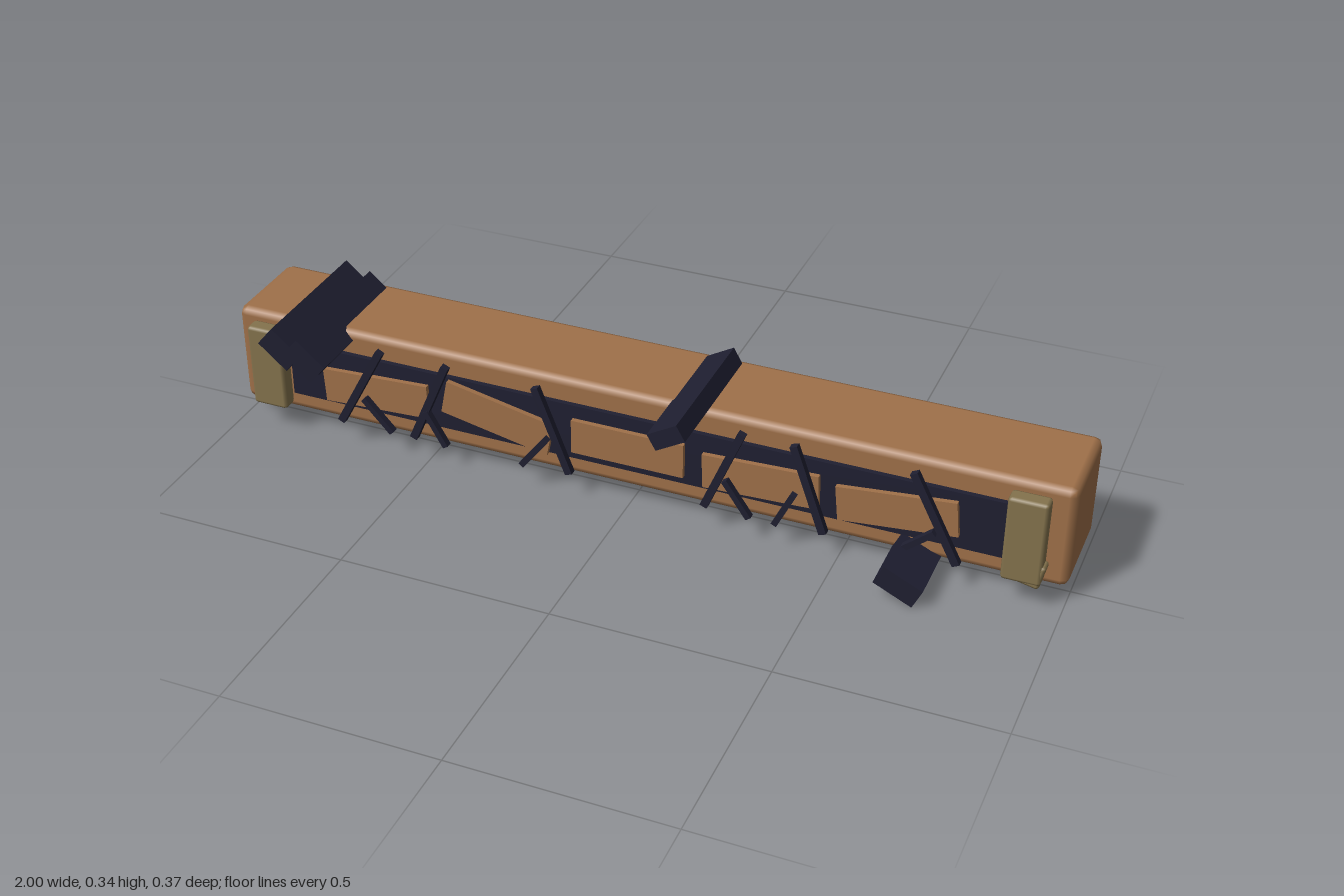
import * as THREE from 'three';
import { RoundedBoxGeometry } from 'three/addons/geometries/RoundedBoxGeometry.js';

const material = (name, color) => {
  const m = new THREE.MeshStandardMaterial({ color });
  m.name = name;
  return m;
};

export function createModel() {
  const group = new THREE.Group();
  const wood = material('warm brown', 0x9f7049);
  const dark = material('dark navy', 0x1f1f31);
  const tan = material('dull tan', 0x84734d);

  const add = (name, geometry, mat, x, y, z, tilt = 0) => {
    const mesh = new THREE.Mesh(geometry, mat);
    mesh.name = name;
    mesh.position.set(x, y, z);
    mesh.rotation.z = tilt;
    group.add(mesh);
    return mesh;
  };
  const box = (w, h, d) => new THREE.BoxGeometry(w, h, d);

  // Chamfered main beam and the recessed-looking dark strip on its front
  add('beam', new RoundedBoxGeometry(2, 0.248, 0.235, 1, 0.018), wood, 0, 0.164, -0.0675);
  add('frontPanel', box(1.72, 0.14, 0.025), dark, 0, 0.161, 0.0495);

  // Loose boards over the strip: x, y, width, height, tilt
  [
    [-0.63, 0.152, 0.27, 0.085, 0.05],
    [-0.32, 0.16, 0.27, 0.085, -0.2],
    [0, 0.158, 0.27, 0.085, 0],
    [0.315, 0.152, 0.27, 0.085, 0.04],
    [0.625, 0.157, 0.27, 0.085, 0.1],
  ].forEach(([x, y, w, h, tilt]) =>
    add('board', box(w, h, 0.012), wood, x, y, 0.071, tilt));

  // Crossing sticks, each from one end point to the other: x1, y1, x2, y2
  [
    [-0.607, 0.273, -0.72, 0.064], [-0.655, 0.14, -0.585, 0.064],
    [-0.44, 0.273, -0.53, 0.064], [-0.495, 0.144, -0.446, 0.06],
    [-0.217, 0.273, -0.136, 0.064], [-0.19, 0.144, -0.254, 0.06],
    [0.275, 0.273, 0.19, 0.064], [0.238, 0.144, 0.297, 0.06],
    [0.393, 0.273, 0.468, 0.064], [0.398, 0.148, 0.356, 0.06],
    [0.66, 0.273, 0.767, 0.064], [0.714, 0.134, 0.639, 0.07],
  ].forEach(([x1, y1, x2, y2], i) => {
    const long = i % 2 === 0;
    const length = Math.hypot(x2 - x1, y2 - y1);
    add(long ? 'longStick' : 'shortStick', box(length, long ? 0.018 : 0.014, 0.016), dark,
      (x1 + x2) / 2, (y1 + y2) / 2, long ? 0.085 : 0.087, Math.atan2(y2 - y1, x2 - x1));
  });

  // End caps, with a broken piece under the left one
  for (const side of [-1, 1]) {
    add('endCap', new RoundedBoxGeometry(0.088, 0.208, 0.04, 1, 0.008), tan, side * 0.907, 0.167, 0.078);
  }
  add('brokenPiece', new RoundedBoxGeometry(0.08, 0.06, 0.036, 1, 0.007), tan, 0.914, 0.09, 0.078, -0.22);

  // Tilted dark slabs running front to back: x, y, width, height, tilt
  [
    [-0.811, 0.288, 0.09, 0.06, -0.7],
    [-0.749, 0.272, 0.09, 0.06, -0.7],
    [0.137, 0.287, 0.078, 0.042, 0.52],
    [0.668, 0.044, 0.098, 0.052, -0.44],
  ].forEach(([x, y, w, h, tilt]) =>
    add('crossSlab', box(w, h, 0.35), dark, x, y, 0.01, tilt));

  return group;
}
